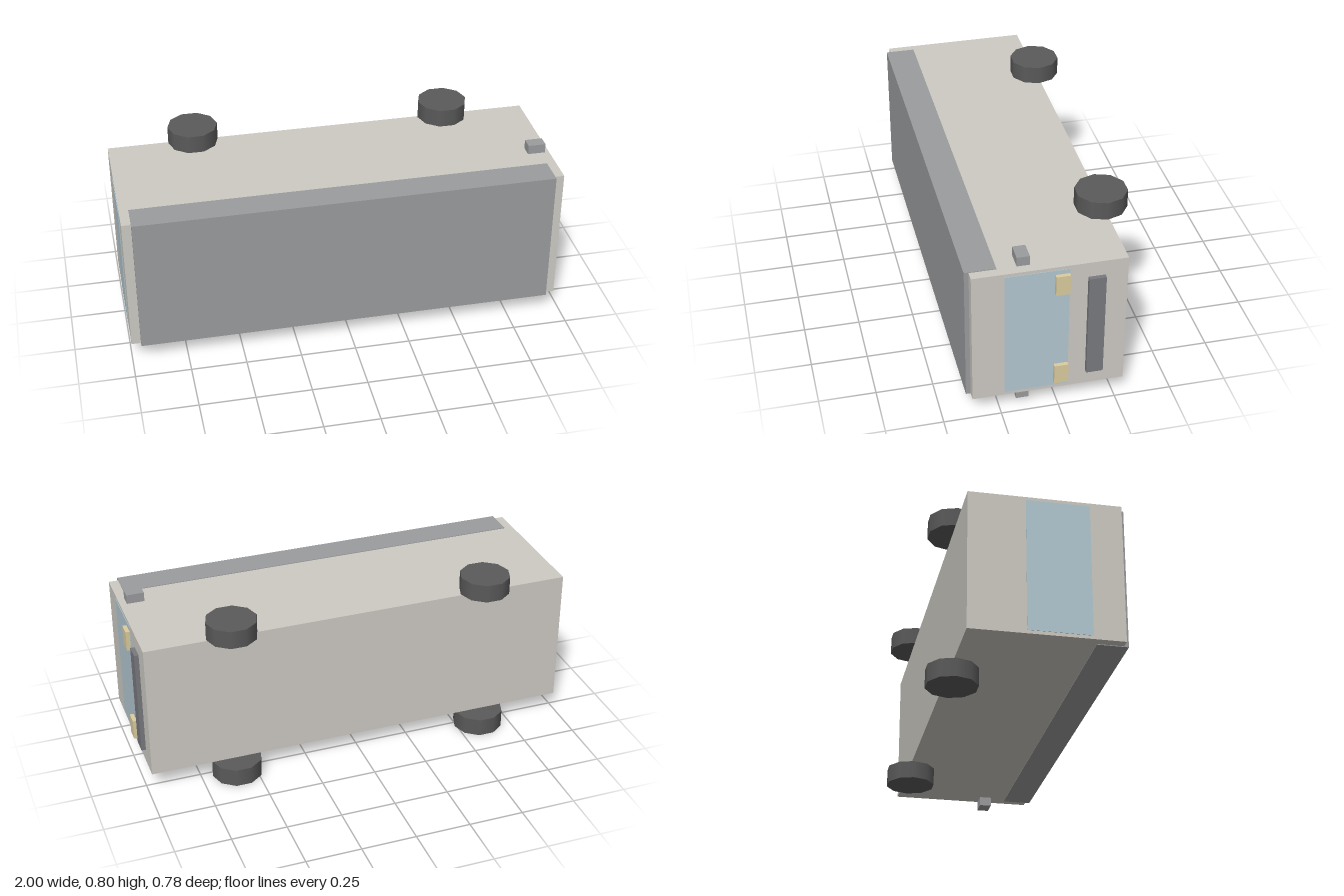
import * as THREE from 'three';

const material = (color) => new THREE.MeshStandardMaterial({ color });

// Box given by its lower and upper limits on each axis
function box(group, name, mat, [x0, x1], [y0, y1], [z0, z1]) {
  const mesh = new THREE.Mesh(new THREE.BoxGeometry(x1 - x0, y1 - y0, z1 - z0), mat);
  mesh.position.set((x0 + x1) / 2, (y0 + y1) / 2, (z0 + z1) / 2);
  mesh.name = name;
  group.add(mesh);
}

export function createModel() {
  const group = new THREE.Group();
  group.name = 'van';
  const paint = material(0xcecbc4);
  const roofGrey = material(0x9b9c9e);
  const bumperGrey = material(0x797a7f);
  const glass = material(0xb3c8d2);
  const lamp = material(0xdccd9f);
  const rubber = material(0x5a5a5a);
  const midY = 0.4;

  // The van lies on its side: its nose points to +x and its roof to +z
  box(group, 'body', paint, [-0.999, 0.979], [0.083, 0.717], [-0.29, 0.37]);
  box(group, 'roof', roofGrey, [-0.957, 0.936], [0.08, 0.72], [0.255, 0.39]);

  // Glass panes and bumper
  box(group, 'windshield', glass, [0.96, 0.981], [0.098, 0.702], [-0.043, 0.232]);
  box(group, 'rearWindow', glass, [-1.001, -0.98], [0.098, 0.702], [-0.043, 0.232]);
  box(group, 'bumper', bumperGrey, [0.97, 0.999], [0.153, 0.647], [-0.193, -0.12]);

  // Paired parts, mirrored about the middle of the van's width
  const wheelGeometry = new THREE.CylinderGeometry(0.115, 0.115, 0.083, 10);
  wheelGeometry.rotateY(Math.PI / 2);
  for (const side of [-1, 1]) {
    const span = (a, b) => [midY + side * a, midY + side * b].sort((p, q) => p - q);
    const label = side < 0 ? 'Lower' : 'Upper';
    box(group, 'headlight' + label, lamp, [0.97, 0.999], span(0.187, 0.281), [-0.041, 0.02]);
    box(group, 'mirror' + label, roofGrey, [0.872, 0.952], span(0.329, 0.372), [0.12, 0.175]);
    for (const [axle, x] of [['rear', -0.605], ['front', 0.585]]) {
      const wheel = new THREE.Mesh(wheelGeometry, rubber);
      wheel.position.set(x, midY + side * 0.3585, -0.281);
      wheel.name = axle + 'Wheel' + label;
      group.add(wheel);
    }
  }
  return group;
}
